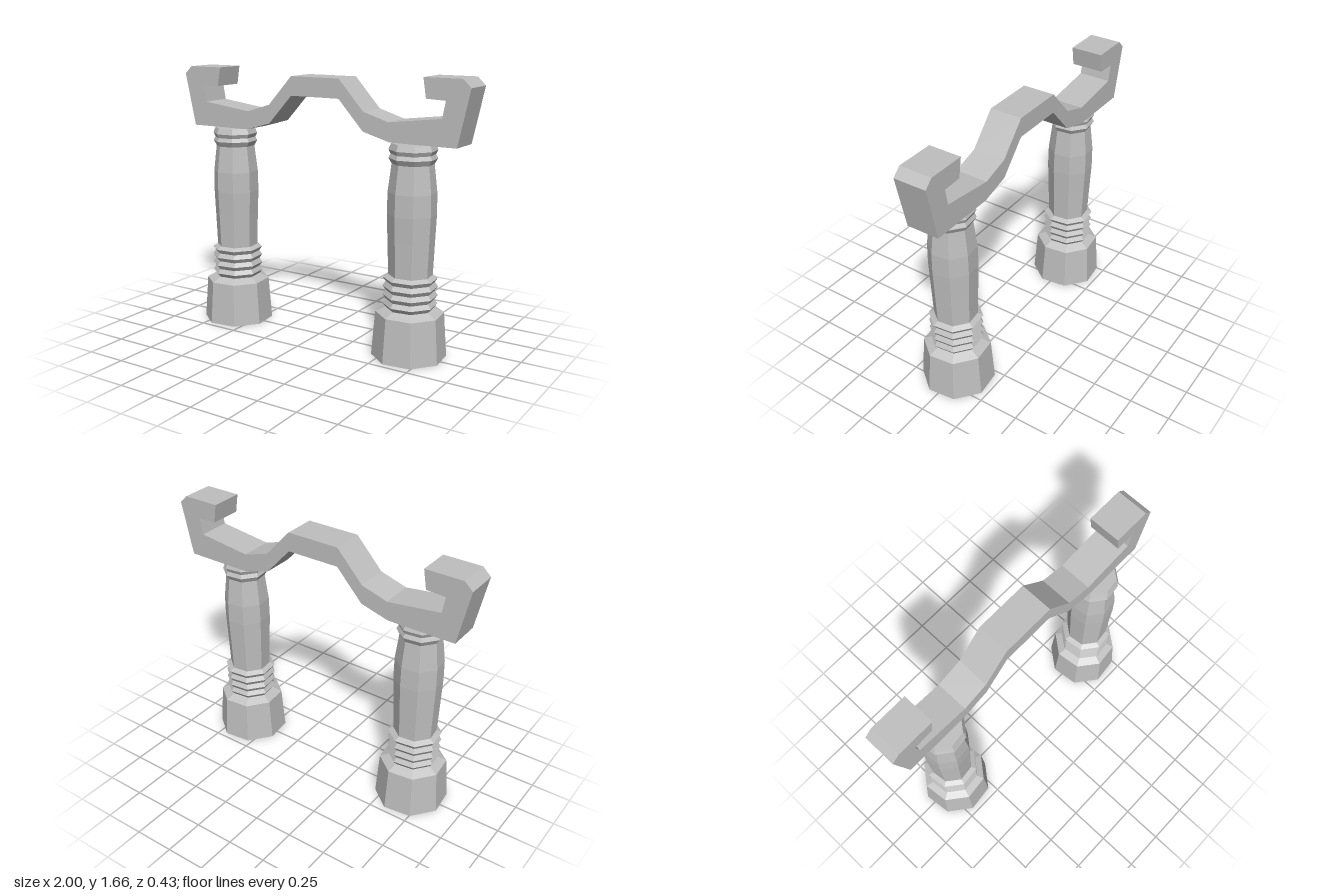
import * as THREE from 'three';

export function createModel() {
  const group = new THREE.Group();
  const stone = new THREE.MeshStandardMaterial({ color: 0xbfbfbf, flatShading: true });
  stone.name = 'grey stone';

  // Eight-sided turned part from [radius, height] pairs, bottom to top
  const turned = (name, profile) => {
    const points = profile.map(([r, y]) => new THREE.Vector2(r, y));
    const geometry = new THREE.LatheGeometry(points, 8, THREE.MathUtils.degToRad(74), Math.PI * 2);
    const mesh = new THREE.Mesh(geometry, stone);
    mesh.name = name;
    return mesh;
  };

  // Stack of ridges above the base
  const ridges = [[0.144, 0.302]];
  for (let i = 0; i < 4; i++) {
    const y = 0.327 + i * 0.0535;
    ridges.push([0.163, y]);
    if (i < 3) ridges.push([0.145, y + 0.027]);
  }
  ridges.push([0.131, 0.505]);

  // Two posts
  for (const [name, x] of [['rightPost', -0.645], ['leftPost', 0.637]]) {
    const post = new THREE.Group();
    post.name = name;
    post.position.x = x;
    post.add(
      turned('base', [[0, 0], [0.225, 0], [0.204, 0.273], [0.144, 0.302]]),
      turned('ridges', ridges),
      turned('shaft', [[0.131, 0.505], [0.139, 0.72], [0.145, 0.87], [0.143, 1.0], [0.123, 1.166]]),
      turned('collar', [[0.123, 1.166], [0.142, 1.198], [0.13, 1.222], [0.142, 1.247], [0.128, 1.283], [0, 1.283]])
    );
    group.add(post);
  }

  // Hooked crossbeam: left half outline, mirrored for the right half
  const half = [
    [0.168, 1.513], [0.334, 1.332], [0.51, 1.283], [0.928, 1.283], [1, 1.615],
    [0.95, 1.663], [0.714, 1.663], [0.733, 1.545], [0.853, 1.54], [0.834, 1.44],
    [0.5, 1.398], [0.334, 1.449], [0.168, 1.631]
  ];
  const outline = [...half, ...half.map(([x, y]) => [-x, y]).reverse()];
  const shape = new THREE.Shape(outline.map(([x, y]) => new THREE.Vector2(x, y)));
  const beam = new THREE.Mesh(
    new THREE.ExtrudeGeometry(shape, { depth: 0.202, bevelEnabled: false }), stone);
  beam.name = 'crossbeam';
  beam.position.z = -0.147;
  group.add(beam);

  return group;
}
